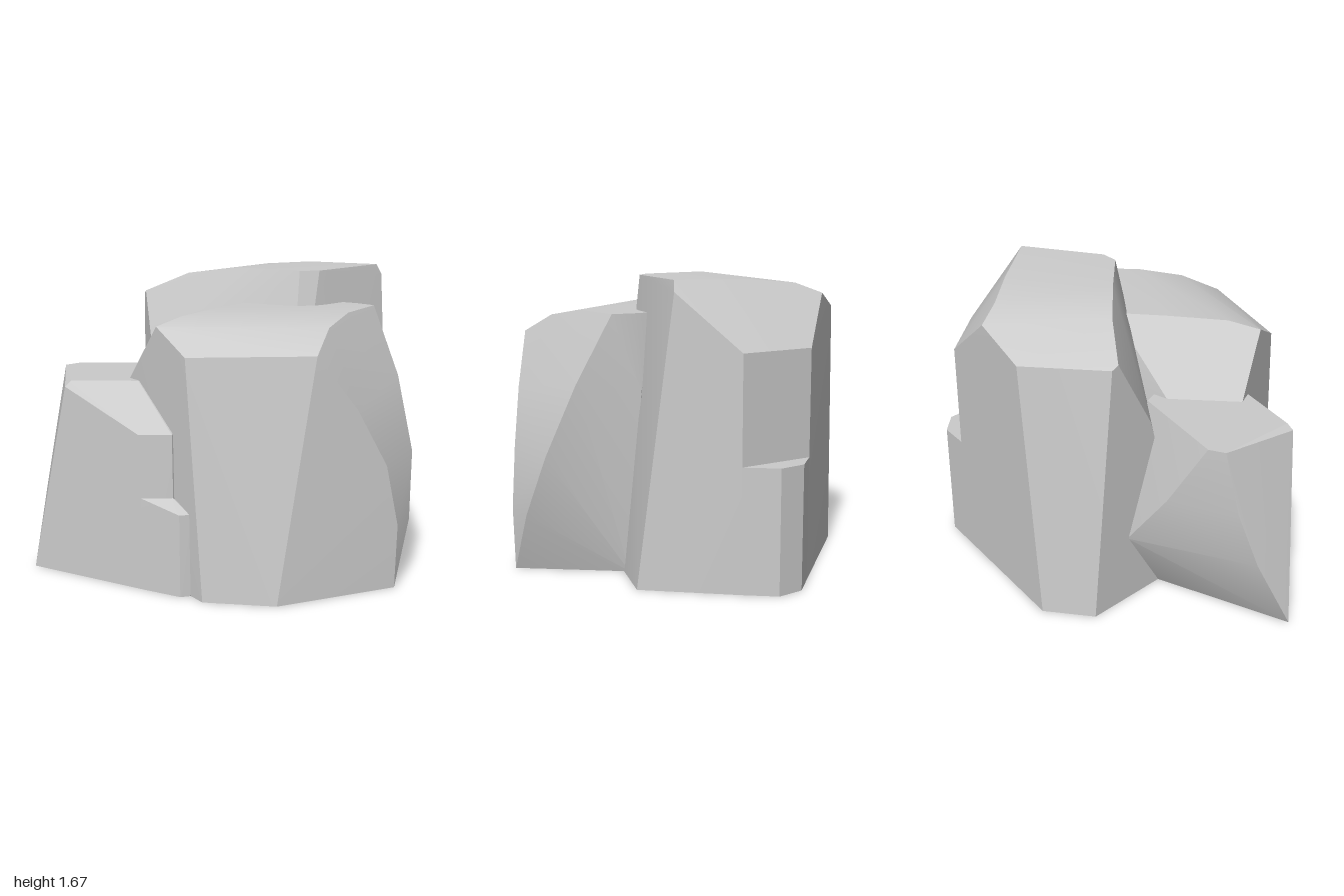
import * as THREE from 'three';
import { ConvexGeometry } from 'three/addons/geometries/ConvexGeometry.js';
import { toCreasedNormals } from 'three/addons/utils/BufferGeometryUtils.js';

const stone = new THREE.MeshStandardMaterial({ color: 0xcccccc });

// A faceted chunk of stone spanning a few corner points [x, y, z]
function chunk(name, corners) {
  const hull = new ConvexGeometry(corners.map((c) => new THREE.Vector3(...c)));
  const mesh = new THREE.Mesh(toCreasedNormals(hull, 0.28), stone);
  mesh.name = name;
  return mesh;
}

// Upright block from a plan outline [x, z]
const prism = (outline, y0, y1) => outline.flatMap(([x, z]) => [[x, y0, z], [x, y1, z]]);

function rock(name, ...chunks) {
  const group = new THREE.Group();
  group.name = name;
  group.add(...chunks);
  return group;
}

export function createModel() {
  const model = new THREE.Group();
  model.name = 'rockCluster';

  // Tall rock at the back, with a ledge low on its rear corner
  model.add(rock('backRock',
    chunk('backRockBody', [
      // base
      [-0.21, 0, -0.89], [0.24, 0, -0.86], [0.64, 0, -0.46], [0.5, 0, -0.1],
      [0.3, 0, 0.3], [-0.4, 0, 0.44], [-0.92, 0, -0.07], [-0.88, 0, -0.37],
      // lower edge of the rear slope
      [-0.21, 1.3, -0.89], [0.24, 1.3, -0.86],
      // upper edge of the rear slope
      [-0.48, 1.57, -0.68], [-0.32, 1.63, -0.63], [0, 1.66, -0.61], [0.49, 1.61, -0.6], [0.47, 1.67, -0.57],
      // crown, falling to the left
      [-0.76, 1.47, -0.47], [-0.82, 1.48, 0.02], [-0.79, 1.5, 0.05], [-0.5, 1.62, 0.01],
      [-0.15, 1.67, 0], [0.25, 1.67, 0], [0.34, 1.67, -0.07],
      // front foot of the sloping face
      [-0.62, 1.08, 0.22],
    ]),
    chunk('backRockLedge', prism(
      [[-0.07, -1], [0.09, -1], [0.24, -0.86], [0.2, -0.7], [-0.2, -0.7], [-0.21, -0.89]], 0, 0.7)),
  ));

  // Low rock at the front, with a stepped edge where it meets its neighbour
  model.add(rock('lowRock',
    chunk('lowRockBody', [
      // flat top
      [-0.98, 1.11, 0.6], [-0.95, 1.11, 0.51], [-0.43, 1.11, 0.2], [-0.2, 1.11, 0.3],
      [-0.34, 1.11, 0.76], [-0.66, 1.11, 0.94], [-0.68, 1.08, 0.97],
      // bulging outer side
      [-1, 0.75, 0.68], [-0.99, 0.42, 0.8], [-0.93, 0, 1],
      [-0.88, 0.75, 0.31], [-0.73, 0.4, 0.1], [-0.55, 0, 0.25],
      // front shoulder and chamfer
      [-0.2, 0.87, 0.965], [-0.04, 0.87, 0.88], [-0.2, 0, 0.975], [-0.04, 0, 0.88], [0, 0, 0.4],
    ]),
    chunk('lowRockStep', [
      [-0.2, 0.52, 0.965], [-0.04, 0.52, 0.88], [-0.08, 0.46, 0.962], [0.05, 0.46, 0.957], [0.09, 0.46, 0.92],
      [-0.2, 0, 0.975], [0.05, 0, 0.96], [0.09, 0, 0.92], [-0.2, 0, 0.8], [-0.2, 0.5, 0.8], [0.07, 0.46, 0.85], [0.07, 0, 0.85],
    ]),
  ));

  // Broad rock at the front, with a bowed outer flank
  const frontFlank = [[0.69, 1.32, 0.63], [0.84, 1.02, 0.45], [0.95, 0.7, 0.31], [1, 0.36, 0.26], [0.99, 0, 0.26]];
  const rearFlank = [[0.62, 1.475, -0.21], [0.81, 1.1, -0.14], [0.95, 0.7, -0.04], [1, 0.35, 0.1]];
  model.add(rock('frontRock', chunk('frontRockBody', [
    ...frontFlank, ...rearFlank,
    // roof
    [0.62, 1.475, 0.13], [0.64, 1.43, 0.4], [-0.1, 1.475, 0.3], [-0.13, 1.465, 0.64],
    [-0.17, 1.43, 0.82], [0.07, 1.3, 0.91], [-0.07, 1.475, 0], [0.35, 1.475, -0.24], [0.5, 1.475, -0.24],
    // left slope
    [-0.45, 1.08, 0.71], [-0.43, 1.08, 0.33], [-0.26, 1.1, 0.1],
    // back edge and base
    [0.47, 1.05, -0.27], [0.5, 0, -0.18], [0.56, 0, 0.81], [0.19, 0, 0.96], [-0.2, 0, 0.8], [-0.3, 0, 0.2],
  ])));

  return model;
}
